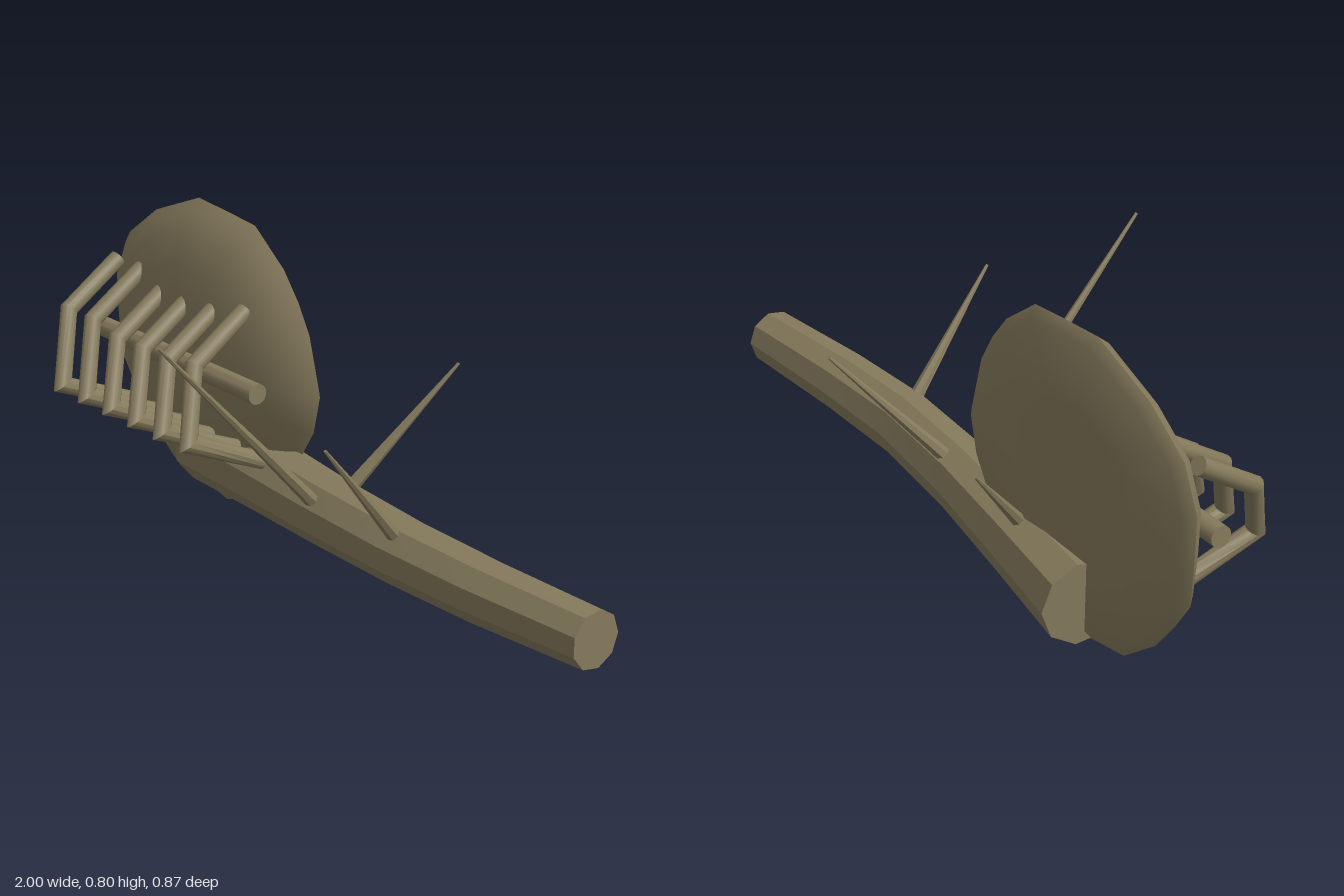
import * as THREE from 'three';
import { toCreasedNormals } from 'three/addons/utils/BufferGeometryUtils.js';

const V = (x, y, z) => new THREE.Vector3(x, y, z);

// Skin a list of equal-length rings and close both ends.
function loft(rings, creaseDegrees) {
  const pos = [];
  const tri = (a, b, c) => [a, b, c].forEach((p) => pos.push(p.x, p.y, p.z));
  const n = rings[0].length;
  for (let i = 0; i < rings.length - 1; i++) {
    for (let j = 0; j < n; j++) {
      const k = (j + 1) % n;
      tri(rings[i][j], rings[i][k], rings[i + 1][k]);
      tri(rings[i][j], rings[i + 1][k], rings[i + 1][j]);
    }
  }
  const first = rings[0];
  const last = rings[rings.length - 1];
  for (let j = 1; j < n - 1; j++) {
    tri(first[0], first[j + 1], first[j]);
    tri(last[0], last[j], last[j + 1]);
  }
  const geo = new THREE.BufferGeometry();
  geo.setAttribute('position', new THREE.Float32BufferAttribute(pos, 3));
  return toCreasedNormals(geo, THREE.MathUtils.degToRad(creaseDegrees));
}

// Tube with mitred corners; the first vertex of each ring points along ref.
function sweep(points, radii, sides, ref, crease) {
  const rings = points.map((p, i) => {
    const prev = points[Math.max(i - 1, 0)];
    const next = points[Math.min(i + 1, points.length - 1)];
    const dIn = (i ? p.clone().sub(prev) : next.clone().sub(p)).normalize();
    const dOut = (next !== p ? next.clone().sub(p) : dIn.clone()).normalize();
    const normal = dIn.clone().add(dOut).normalize();
    const u = ref.clone().addScaledVector(dIn, -ref.dot(dIn)).normalize();
    const v = dIn.clone().cross(u);
    return Array.from({ length: sides }, (_, j) => {
      const a = (j / sides) * Math.PI * 2;
      const o = u.clone().multiplyScalar(Math.cos(a) * radii[i]).addScaledVector(v, Math.sin(a) * radii[i]);
      o.addScaledVector(dIn, -o.dot(normal) / dIn.dot(normal));
      return o.add(p);
    });
  });
  return loft(rings, crease);
}

export function createModel() {
  const group = new THREE.Group();
  const bark = new THREE.MeshStandardMaterial({ color: 0x857a5c });
  bark.name = 'olive bark';
  const add = (name, geo) => {
    const mesh = new THREE.Mesh(geo, bark);
    mesh.name = name;
    group.add(mesh);
  };

  // Curved, tapering nine-sided branch
  const branchPath = [
    V(-0.615, 0.13, -0.203), V(-0.3, 0.138, -0.164), V(0, 0.143, -0.128),
    V(0.33, 0.145, -0.104), V(0.63, 0.14, -0.11), V(0.99, 0.135, -0.135),
  ];
  add('branch', sweep(branchPath, [0.109, 0.1, 0.092, 0.086, 0.081, 0.073], 9, V(0, 0, -1), 30));

  // Rough disc with a flat back and a domed front
  const outline = [
    [-0.095, 0.4], [-0.14, 0.55], [-0.19, 0.63], [-0.25, 0.7], [-0.37, 0.785], [-0.48, 0.795],
    [-0.62, 0.805], [-0.82, 0.73], [-0.95, 0.64], [-1, 0.53], [-0.995, 0.42], [-0.985, 0.3],
    [-0.93, 0.22], [-0.86, 0.135], [-0.74, 0.045], [-0.62, 0.025], [-0.5, 0.004], [-0.42, 0.03],
    [-0.31, 0.09], [-0.2, 0.18], [-0.12, 0.3],
  ];
  const layers = [
    [0.02, -0.2], [0.5, -0.2], [0.93, -0.2], [1, -0.178], [0.93, -0.145],
    [0.8, -0.11], [0.6, -0.084], [0.35, -0.065], [0.02, -0.06],
  ];
  const cx = -0.55;
  const cy = 0.42;
  const discRings = layers.map(([s, z]) => outline.map(([x, y]) => {
    const dip = z > -0.15 && y < cy ? 0.03 * s * (cy - y) : 0;
    return V(cx + (x - cx) * s, cy + (y - cy) * s, z - dip);
  }));
  add('disc', loft(discRings, 50));

  // Bent ribs across the front of the disc
  const tops = [0.59, 0.59, 0.568, 0.57, 0.575, 0.588];
  tops.forEach((y, i) => {
    const x = -0.9 + i * 0.117;
    const path = [
      V(x, y, -0.105), V(x + 0.02, y - 0.108, 0.066),
      V(x + 0.1, 0.307, 0.14), V(x + 0.108, 0.222, -0.08),
    ];
    add('rib' + (i + 1), sweep(path, [0.023, 0.023, 0.023, 0.023], 12, V(1, 0, 0), 40));
  });

  // Rod running behind the ribs
  add('crossRod', sweep([V(-0.925, 0.408, -0.054), V(-0.19, 0.408, -0.054)], [0.027, 0.027], 20, V(0, 1, 0), 40));

  // Long thorns growing from the branch
  const thorns = [
    [V(0.035, 0.195, -0.055), V(0.093, 0.695, 0.43)],
    [V(0.043, 0.2, -0.165), V(0.14, 0.505, -0.432)],
    [V(0.358, 0.19, -0.07), V(0.417, 0.488, 0.193)],
    [V(-0.335, 0.2, -0.19), V(-0.46, 0.446, -0.398)],
  ];
  thorns.forEach(([base, tip], i) => {
    add('thorn' + (i + 1), sweep([base, tip], [0.019, 0.004], 7, V(1, 0, 0), 30));
  });

  return group;
}
